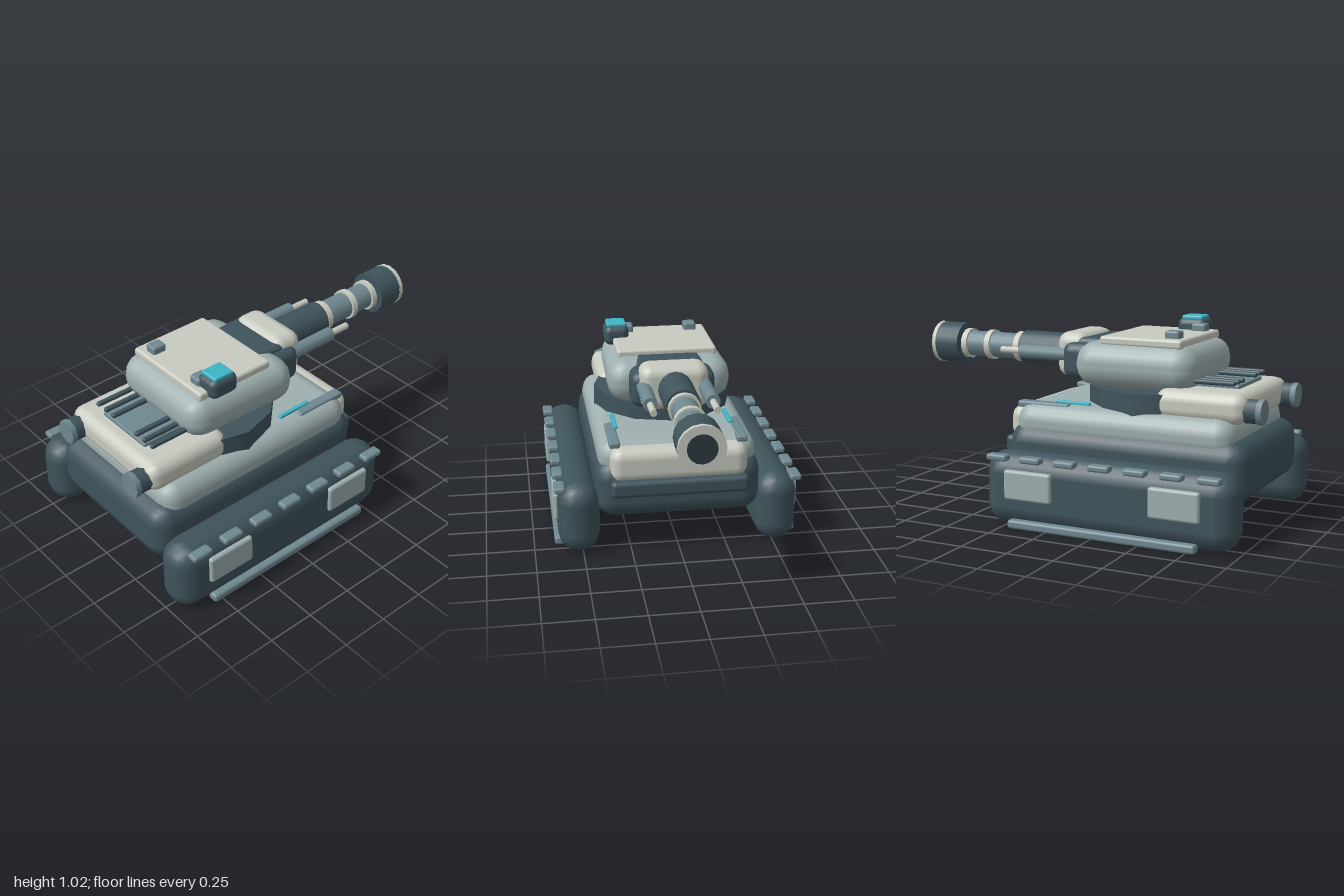
import * as THREE from 'three';
import { RoundedBoxGeometry } from 'three/addons/geometries/RoundedBoxGeometry.js';

const paint = (color) => new THREE.MeshStandardMaterial({ color });

export function createModel() {
  const dark = paint(0x3f545c), steel = paint(0x6f8890), grey = paint(0x9fafaf);
  const light = paint(0xc8cbc0), cyan = paint(0x3fb4c6), black = paint(0x2c3a40);
  const root = new THREE.Group();
  root.name = 'tank';

  const group = (name) => {
    const g = new THREE.Group();
    g.name = name;
    root.add(g);
    return g;
  };
  const add = (parent, name, geometry, material) => {
    const mesh = new THREE.Mesh(geometry, material);
    mesh.name = name;
    parent.add(mesh);
    return mesh;
  };
  // Soft-edged box given by its extents on each axis
  const block = (parent, name, material, [x0, x1], [y0, y1], [z0, z1], r) => {
    const mesh = add(parent, name, new RoundedBoxGeometry(x1 - x0, y1 - y0, z1 - z0, 2, r), material);
    mesh.position.set((x0 + x1) / 2, (y0 + y1) / 2, (z0 + z1) / 2);
    return mesh;
  };
  // Cylinder lying along z
  const rod = (parent, name, material, r, [z0, z1], x, y, sides = 12) => {
    const geometry = new THREE.CylinderGeometry(r, r, z1 - z0, sides).rotateX(Math.PI / 2);
    const mesh = add(parent, name, geometry, material);
    mesh.position.set(x, y, (z0 + z1) / 2);
    return mesh;
  };
  // Extents along x for either side
  const span = (s, a, b) => (s > 0 ? [a, b] : [-b, -a]);

  // Hull
  const hull = group('hull');
  block(hull, 'lowerHull', dark, [-0.43, 0.43], [0.185, 0.5], [-0.34, 0.965], 0.1);
  block(hull, 'upperDeck', grey, [-0.41, 0.41], [0.4, 0.6], [-0.305, 0.885], 0.09);
  block(hull, 'frontPlate', light, [-0.355, 0.355], [0.39, 0.575], [-0.36, -0.1], 0.06);
  block(hull, 'frontBumper', dark, [-0.355, 0.355], [0.325, 0.415], [-0.385, -0.28], 0.025);
  for (const s of [1, -1]) {
    block(hull, 'deckRail', steel, span(s, 0.3, 0.357), [0.57, 0.605], [-0.305, -0.01], 0.012);
    block(hull, 'deckLight', cyan, span(s, 0.292, 0.315), [0.59, 0.615], [-0.105, 0.09], 0.006);
  }

  // Tracks with cleats, side panels and lower rail
  for (const s of [1, -1]) {
    const track = group(s > 0 ? 'leftTrack' : 'rightTrack');
    block(track, 'trackBody', dark, span(s, 0.408, 0.625), [0.005, 0.385], [-0.365, 0.985], 0.105);
    for (let i = 0; i < 7; i++) {
      const z = -0.27 + i * 0.1885;
      block(track, 'cleat', steel, span(s, 0.585, 0.643), [0.345, 0.378], [z - 0.057, z + 0.057], 0.012);
    }
    for (const z of [-0.095, 0.688])
      block(track, 'sidePanel', grey, span(s, 0.595, 0.643), [0.153, 0.305], [z - 0.132, z + 0.132], 0.015);
    block(track, 'lowerRail', steel, span(s, 0.585, 0.643), [0.005, 0.05], [-0.21, 0.8], 0.014);
  }

  // Engine housing with grille and exhausts
  const engine = group('engine');
  block(engine, 'engineHousing', light, [-0.345, 0.345], [0.565, 0.72], [0.45, 0.925], 0.06);
  block(engine, 'grillePlate', steel, [-0.17, 0.17], [0.71, 0.738], [0.45, 0.835], 0.008);
  for (const s of [1, -1]) {
    for (const x of [0.095, 0.158, 0.22])
      block(engine, 'grilleBar', dark, [s * x - 0.013, s * x + 0.013], [0.74, 0.764], [0.5, 0.835], 0.01);
    rod(engine, 'exhaustPipe', dark, 0.06, [0.85, 0.985], s * 0.267, 0.635, 8);
    rod(engine, 'exhaustCap', steel, 0.064, [0.972, 1], s * 0.267, 0.635, 8);
  }

  // Turret on its ring
  const turret = group('turret');
  const ring = add(turret, 'turretRing', new THREE.CylinderGeometry(0.375, 0.375, 0.12, 12), dark);
  ring.position.set(0, 0.63, 0.355);
  const body = block(turret, 'turretBody', grey, [-0.33, 0.33], [0.69, 0.922], [-0.015, 0.64], 0.105);
  // narrow the body slightly toward the rear
  const p = body.geometry.attributes.position;
  for (let i = 0; i < p.count; i++) p.setX(i, p.getX(i) * (0.97 - 0.09 * p.getZ(i)));
  block(turret, 'roofPlate', light, [-0.265, 0.265], [0.905, 0.952], [0.12, 0.565], 0.015);
  for (const s of [1, -1])
    block(turret, 'roofHatch', steel, [s * 0.175 - 0.034, s * 0.175 + 0.034], [0.94, 0.99], [0.452, 0.53], 0.012);
  block(turret, 'cupola', dark, [0.175, 0.308], [0.905, 1.012], [0.355, 0.518], 0.035);
  block(turret, 'cupolaLight', cyan, [0.188, 0.294], [1, 1.026], [0.38, 0.495], 0.01);
  block(turret, 'gunMount', dark, [-0.22, 0.22], [0.71, 0.9], [-0.125, 0.14], 0.05);
  block(turret, 'gunMountTop', dark, [-0.175, 0.175], [0.8, 0.926], [-0.06, 0.15], 0.03);
  block(turret, 'mantlet', light, [-0.178, 0.178], [0.71, 0.948], [-0.18, 0.0], 0.06);

  // Main gun
  const gun = group('mainGun');
  const y = 0.832;
  rod(gun, 'barrelSleeve', dark, 0.09, [-0.452, -0.1], 0, y, 16);
  rod(gun, 'barrel', steel, 0.07, [-0.85, -0.44], 0, y, 16);
  for (const z of [-0.478, -0.662, -0.808])
    rod(gun, 'barrelBand', light, 0.082, [z - 0.016, z + 0.016], 0, y, 16);
  rod(gun, 'muzzleBrake', dark, 0.112, [-0.985, -0.832], 0, y, 16);
  rod(gun, 'muzzleRing', light, 0.114, [-0.994, -0.972], 0, y, 16);
  rod(gun, 'bore', black, 0.072, [-1, -0.96], 0, y, 16);

  // Secondary guns either side of the mantlet
  for (const s of [1, -1]) {
    const side = group(s > 0 ? 'leftSideGun' : 'rightSideGun');
    rod(side, 'sideGunBody', steel, 0.037, [-0.395, -0.06], s * 0.157, y, 10);
    rod(side, 'sideGunBarrel', light, 0.018, [-0.515, -0.38], s * 0.157, y, 8);
  }
  return root;
}
